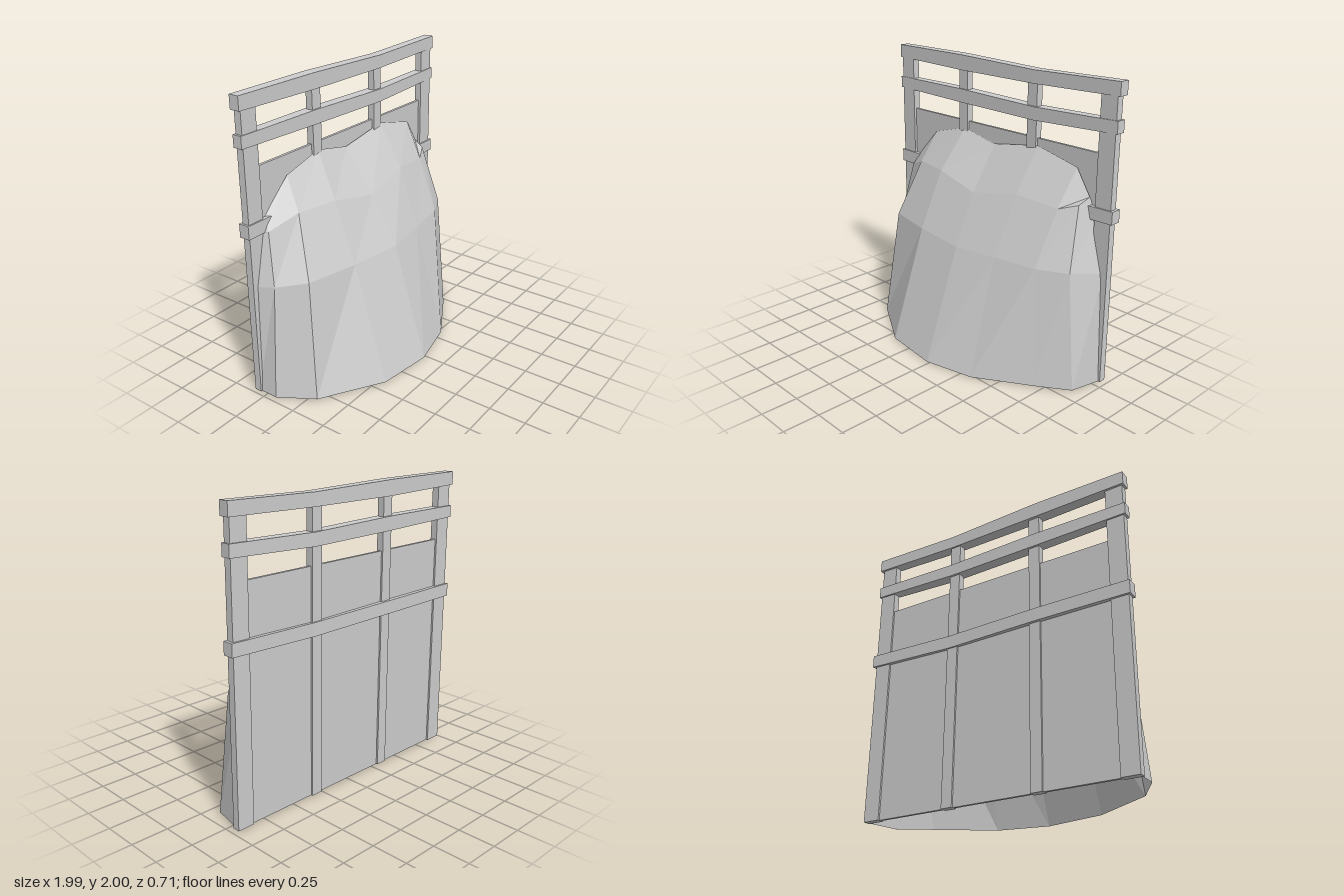
import * as THREE from 'three';

const stone = new THREE.MeshStandardMaterial({ color: 0xcccccc, side: THREE.DoubleSide });
stone.name = 'plain grey';

function add(group, name, geometry) {
  const mesh = new THREE.Mesh(geometry, stone);
  mesh.name = name;
  group.add(mesh);
}

// Box given by its limits
function block(x0, x1, y0, y1, z0, z1) {
  return new THREE.BoxGeometry(x1 - x0, y1 - y0, z1 - z0)
    .translate((x0 + x1) / 2, (y0 + y1) / 2, (z0 + z1) / 2);
}

// Slightly crooked rail; each station is [x, bottom, top, back, front]
function rail(stations) {
  const g = new THREE.BoxGeometry(3, 2, 2, 3, 1, 1);
  const p = g.attributes.position;
  for (let i = 0; i < p.count; i++) {
    const [x, bottom, top, back, front] = stations[Math.round(p.getX(i) + 1.5)];
    p.setXYZ(i, x, p.getY(i) > 0 ? top : bottom, p.getZ(i) > 0 ? front : back);
  }
  const flat = g.toNonIndexed();
  flat.computeVertexNormals();
  return flat;
}

// Faceted sheet through columns of points, bottom to top
function mound(columns) {
  const pos = [];
  for (let c = 0; c < columns.length - 1; c++) {
    for (let r = 0; r < columns[c].length - 1; r++) {
      const a = columns[c][r], b = columns[c + 1][r];
      const d = columns[c][r + 1], e = columns[c + 1][r + 1];
      pos.push(...a, ...b, ...e, ...a, ...e, ...d);
    }
  }
  const g = new THREE.BufferGeometry();
  g.setAttribute('position', new THREE.Float32BufferAttribute(pos, 3));
  g.computeVertexNormals();
  return g;
}

export function createModel() {
  const group = new THREE.Group();
  group.name = 'backboard with mound';

  // Upright posts
  const posts = [[-0.98, -0.86], [-0.37, -0.29], [0.27, 0.35], [0.85, 0.97]];
  posts.forEach(([x0, x1], i) =>
    add(group, i % 3 ? 'middlePost' : 'cornerPost', block(x0, x1, 0.01, 1.95, -0.34, -0.29)));

  // Panels set between the posts
  for (let i = 0; i < 3; i++) {
    add(group, 'panel', block(posts[i][1], posts[i + 1][0], 0.01, 1.54, -0.328, -0.308));
  }

  // Cross rails
  add(group, 'topRail', rail([
    [-0.995, 1.91, 2.0, -0.355, -0.285], [-0.35, 1.895, 2.0, -0.36, -0.28],
    [0.33, 1.895, 1.983, -0.35, -0.275], [0.99, 1.91, 1.998, -0.355, -0.285]]));
  add(group, 'middleRail', rail([
    [-0.995, 1.685, 1.765, -0.35, -0.285], [-0.35, 1.67, 1.765, -0.355, -0.28],
    [0.33, 1.66, 1.748, -0.355, -0.275], [0.985, 1.685, 1.765, -0.35, -0.285]]));
  add(group, 'lowerRail', rail([
    [-0.995, 1.115, 1.205, -0.355, -0.28], [-0.35, 1.11, 1.2, -0.36, -0.28],
    [0.33, 1.1, 1.19, -0.35, -0.28], [0.99, 1.12, 1.205, -0.355, -0.28]]));

  // Heaped mound leaning against the panels, open underneath
  add(group, 'mound', mound([
    [[-0.97, 0.01, -0.31], [-0.95, 0.77, -0.31], [-0.87, 1.13, -0.31], [-0.86, 1.16, -0.31]],
    [[-0.97, 0.01, -0.17], [-0.90, 0.78, -0.19], [-0.85, 1.12, -0.26], [-0.82, 1.21, -0.31]],
    [[-0.83, 0.01, 0.06], [-0.76, 0.80, -0.03], [-0.66, 1.20, -0.18], [-0.62, 1.41, -0.30]],
    [[-0.42, 0.01, 0.31], [-0.40, 0.80, 0.05], [-0.38, 1.20, -0.12], [-0.32, 1.49, -0.30]],
    [[-0.02, 0.00, 0.35], [0.00, 0.79, 0.09], [-0.02, 1.13, -0.09], [-0.03, 1.43, -0.30]],
    [[0.33, 0.00, 0.27], [0.32, 0.80, 0.05], [0.35, 1.20, -0.12], [0.36, 1.495, -0.30]],
    [[0.70, 0.01, 0.06], [0.63, 0.80, 0.00], [0.66, 1.17, -0.16], [0.69, 1.42, -0.30]],
    [[0.91, 0.01, -0.08], [0.83, 0.80, -0.10], [0.78, 1.21, -0.22], [0.80, 1.25, -0.30]],
    [[0.96, 0.01, -0.31], [0.93, 0.77, -0.31], [0.84, 1.10, -0.31], [0.81, 1.22, -0.31]],
  ]));

  return group;
}
